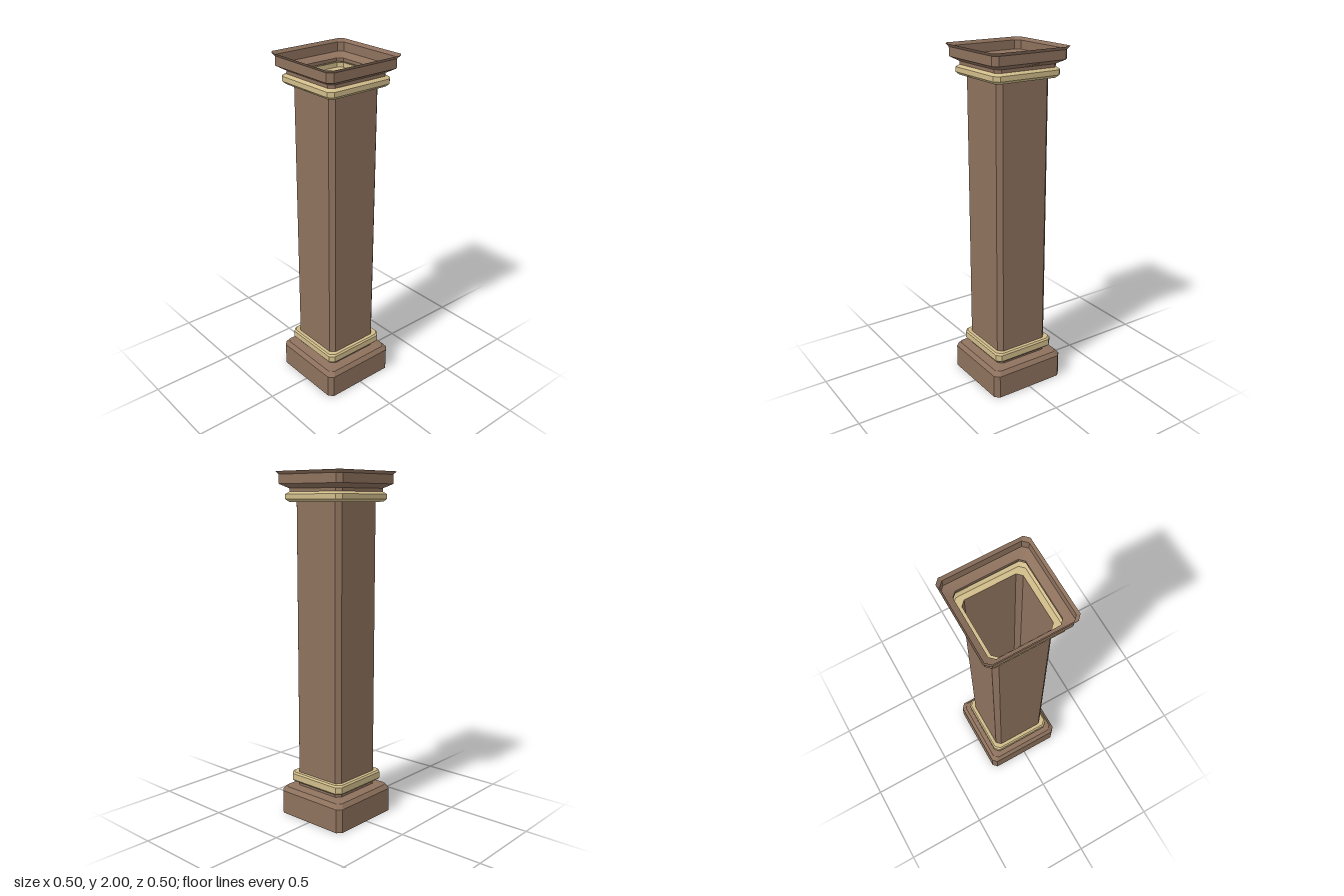
import * as THREE from 'three';
import { toCreasedNormals } from 'three/addons/utils/BufferGeometryUtils.js';

const CHAMFER = 0.026;

// Square outline with cut corners, h = half width
function outline(h, y) {
  const c = h - CHAMFER;
  return [[c, h], [h, c], [h, -c], [c, -h], [-c, -h], [-h, -c], [-h, c], [-c, h]]
    .map(([x, z]) => [x, y, z]);
}

// Open shell through [half width, height] pairs, listed bottom to top
function shell(name, profile, material) {
  const rings = profile.map(([h, y]) => outline(h, y));
  const positions = [];
  for (let i = 0; i < rings.length - 1; i++) {
    for (let j = 0; j < 8; j++) {
      const k = (j + 1) % 8;
      const a = rings[i][j], b = rings[i][k], c = rings[i + 1][k], d = rings[i + 1][j];
      positions.push(...a, ...b, ...c, ...a, ...c, ...d);
    }
  }
  const geometry = new THREE.BufferGeometry();
  geometry.setAttribute('position', new THREE.Float32BufferAttribute(positions, 3));
  const mesh = new THREE.Mesh(toCreasedNormals(geometry, 0.56), material);
  mesh.name = name;
  return mesh;
}

export function createModel() {
  const brown = new THREE.MeshStandardMaterial({ name: 'brown', color: 0x8d715d, side: THREE.DoubleSide });
  const cream = new THREE.MeshStandardMaterial({ name: 'cream', color: 0xd0bc8a, side: THREE.DoubleSide });

  const group = new THREE.Group();
  group.name = 'column';
  group.add(
    // Plinth, its sloped shoulder and the neck above it
    shell('base', [[0.237, 0], [0.237, 0.14], [0.218, 0.165], [0.168, 0.175], [0.168, 0.2]], brown),
    // Lower moulding
    shell('lowerRing', [[0.168, 0.2], [0.188, 0.2], [0.196, 0.21], [0.196, 0.247], [0.188, 0.257], [0.168, 0.257]], cream),
    // Hollow shaft
    shell('shaft', [[0.168, 0.257], [0.168, 1.835]], brown),
    // Upper moulding
    shell('upperRing', [[0.168, 1.835], [0.198, 1.835], [0.213, 1.85], [0.213, 1.877], [0.196, 1.89]], cream),
    // Open capital with flared lip
    shell('capital', [[0.196, 1.89], [0.196, 1.908], [0.237, 1.932], [0.237, 1.983], [0.25, 2]], brown),
  );
  return group;
}
